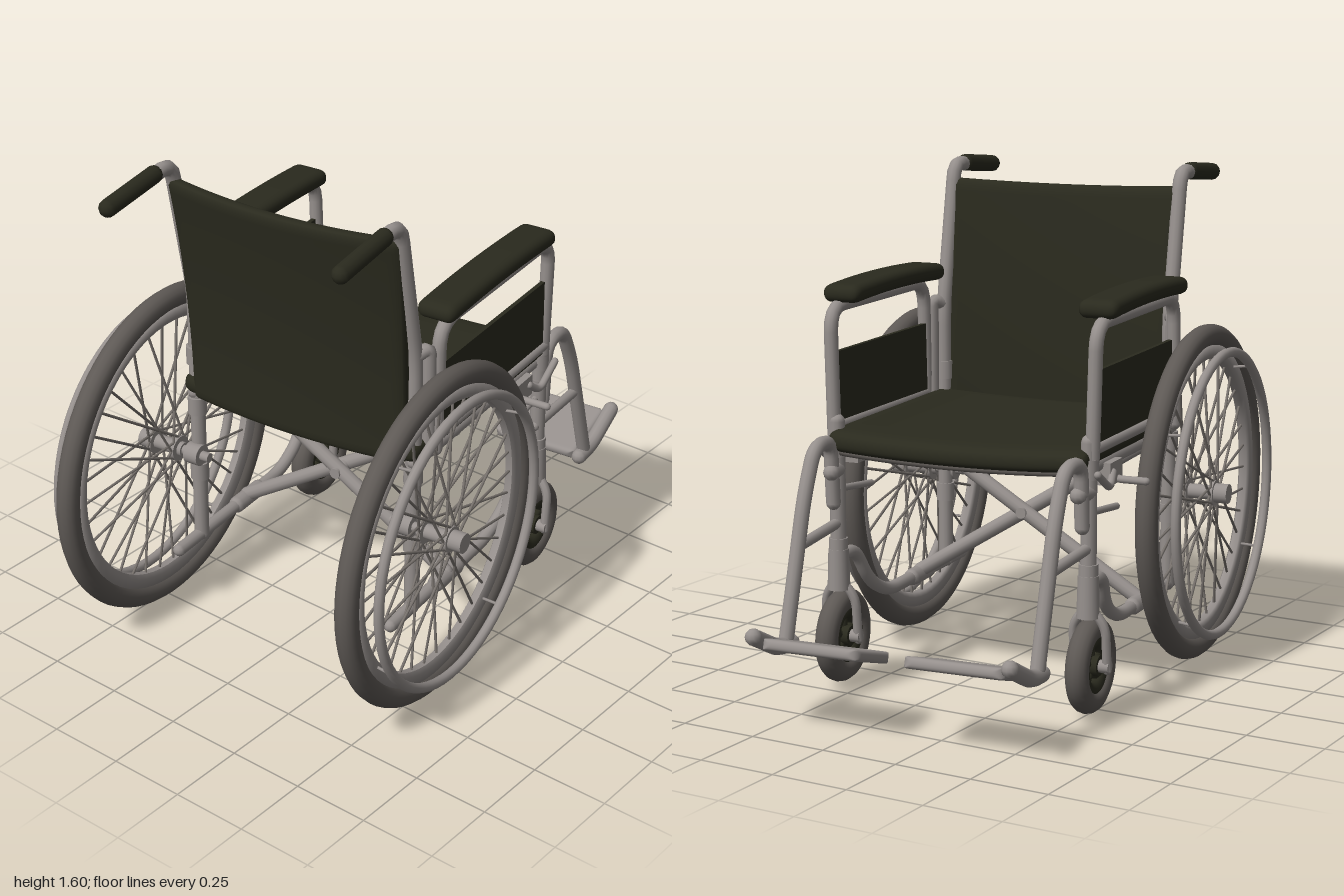
import * as THREE from 'three';
import { mergeGeometries, mergeVertices } from 'three/addons/utils/BufferGeometryUtils.js';

const mat = (name, color) => Object.assign(new THREE.MeshStandardMaterial({ color }), { name });
const V = (p) => new THREE.Vector3(...p);

// Tube along a polyline with rounded bends and round ends
function tubeGeo(points, r, bend = 0.06, sides = 12) {
  const pts = points.map(V);
  const path = new THREE.CurvePath();
  let from = pts[0];
  for (let i = 1; i < pts.length - 1; i++) {
    const p = pts[i];
    const b = Math.min(bend, p.distanceTo(pts[i - 1]) * 0.45, p.distanceTo(pts[i + 1]) * 0.45);
    const a = p.clone().add(pts[i - 1].clone().sub(p).setLength(b));
    const c = p.clone().add(pts[i + 1].clone().sub(p).setLength(b));
    path.add(new THREE.LineCurve3(from, a));
    path.add(new THREE.QuadraticBezierCurve3(a, p, c));
    from = c;
  }
  const end = pts[pts.length - 1];
  path.add(new THREE.LineCurve3(from, end));
  const tube = new THREE.TubeGeometry(path, pts.length > 2 ? pts.length * 12 : 1, r, sides);
  const caps = [pts[0], end].map((p) => new THREE.SphereGeometry(r, sides, 6).translate(p.x, p.y, p.z));
  return mergeGeometries([tube, ...caps]);
}

// Straight thin rod
function rodGeo(a, b, r, sides = 6) {
  const dir = V(b).sub(V(a));
  const g = new THREE.CylinderGeometry(r, r, dir.length(), sides);
  g.applyQuaternion(new THREE.Quaternion().setFromUnitVectors(new THREE.Vector3(0, 1, 0), dir.clone().normalize()));
  const m = V(a).addScaledVector(dir, 0.5);
  return g.translate(m.x, m.y, m.z);
}

// Rounded box with a fine grid, bent by a rule
function cushionGeo(w, h, d, r, warp, seg = [40, 8, 40]) {
  let g = new THREE.BoxGeometry(w, h, d, ...seg);
  g.deleteAttribute('uv');
  g.deleteAttribute('normal');
  g = mergeVertices(g, 1e-5);
  const pos = g.attributes.position;
  const half = new THREE.Vector3(w / 2 - r, h / 2 - r, d / 2 - r);
  const p = new THREE.Vector3();
  for (let i = 0; i < pos.count; i++) {
    p.fromBufferAttribute(pos, i);
    const q = p.clone().clamp(half.clone().negate(), half);
    p.sub(q);
    if (p.lengthSq() > 1e-12) p.setLength(r);
    p.add(q);
    warp(p);
    pos.setXYZ(i, p.x, p.y, p.z);
  }
  g.computeVertexNormals();
  return g;
}

export function createModel() {
  const metal = mat('grey metal', 0x96908d);
  const fabric = mat('dark olive upholstery', 0x2a2a1e);
  const rubber = mat('tyre rubber', 0x5e5955);
  const wire = mat('spoke wire', 0x7a746f);

  const model = new THREE.Group();
  model.name = 'wheelchair';
  const chair = new THREE.Group();
  chair.name = 'chair';
  chair.rotation.y = 0.118;
  chair.position.x = -0.046;
  model.add(chair);

  const add = (name, geo, material, parent = chair) => {
    const m = new THREE.Mesh(geo, material);
    m.name = name;
    parent.add(m);
  };
  const ring = (R, r, sides = 12, seg = 64) => new THREE.TorusGeometry(R, r, sides, seg).rotateY(Math.PI / 2);
  const axial = (r, len, x = 0) => new THREE.CylinderGeometry(r, r, len, 20).rotateZ(Math.PI / 2).translate(x, 0, 0);

  // Large spoked wheel with push rim, s is the side it faces
  function bigWheel(s) {
    const wheel = new THREE.Group();
    wheel.name = 'rearWheel';
    wheel.position.set(s * 0.505, 0.552, 0.398);
    chair.add(wheel);
    add('tyre', ring(0.511, 0.036, 14, 72), rubber, wheel);
    const profile = [[0.435, -0.012], [0.45, -0.02], [0.48, -0.02], [0.48, 0.02], [0.45, 0.02], [0.435, 0.012], [0.435, -0.012]];
    const rim = new THREE.LatheGeometry(profile.map((q) => new THREE.Vector2(...q)), 64).rotateZ(Math.PI / 2);
    add('wheelRim', rim, metal, wheel);
    add('pushRim', ring(0.46, 0.016, 10).translate(s * 0.077, 0, 0), metal, wheel);
    const at = (x, r, a) => [x, r * Math.cos(a), r * Math.sin(a)];
    const spokes = [], links = [];
    for (let i = 0; i < 36; i++) {
      const a = (i / 36) * Math.PI * 2;
      const x = i % 2 ? 0.045 : -0.045;
      const lean = Math.floor(i / 2) % 2 ? 1.1 : -1.1;
      spokes.push(rodGeo(at(x, 0.036, a + lean), at(0, 0.44, a), 0.0045));
    }
    for (let i = 0; i < 4; i++) {
      const a = (i / 4) * Math.PI * 2 + 0.6;
      links.push(rodGeo(at(0, 0.45, a), at(s * 0.077, 0.46, a), 0.005));
    }
    add('spokes', mergeGeometries(spokes), wire, wheel);
    add('pushRimLinks', mergeGeometries(links), metal, wheel);
    const hub = [axial(0.024, 0.13), axial(0.042, 0.012, 0.045), axial(0.042, 0.012, -0.045),
      axial(0.032, 0.05, s * 0.07), axial(0.016, 0.17, -s * 0.08), axial(0.035, 0.05, -s * 0.11)];
    add('hub', mergeGeometries(hub), metal, wheel);
  }

  // Small front wheel with fork
  function caster(s) {
    const c = new THREE.Group();
    c.name = 'caster';
    c.position.set(s * 0.42, 0.16, -0.355);
    chair.add(c);
    add('casterTyre', ring(0.112, 0.037, 14, 40), rubber, c);
    add('casterRim', ring(0.077, 0.026, 10, 32), fabric, c);
    const arms = [];
    for (let i = 0; i < 5; i++) {
      const a = (i / 5) * Math.PI * 2;
      arms.push(rodGeo([0, 0, 0], [0, 0.075 * Math.cos(a), 0.075 * Math.sin(a)], 0.014, 8));
    }
    add('casterSpokes', mergeGeometries([...arms, axial(0.032, 0.06)]), fabric, c);
    add('casterAxle', axial(0.02, 0.125), metal, c);
    const fork = [-1, 1].map((k) => tubeGeo([[k * 0.053, -0.01, 0], [k * 0.053, 0.13, -0.015], [0, 0.19, -0.025]], 0.015, 0.04, 8));
    add('fork', mergeGeometries(fork), metal, c);
    add('steeringStem', new THREE.CylinderGeometry(0.032, 0.036, 0.13, 18).translate(0, 0.22, -0.025), metal, c);
  }

  // Everything that repeats on the two sides
  for (const s of [-1, 1]) {
    const side = (pts) => pts.map(([x, y, z]) => [s * x, y, z]);
    const tube = (name, pts, r = 0.022, bend = 0.06, m = metal) => add(name, tubeGeo(side(pts), r, bend), m);
    bigWheel(s);
    caster(s);

    // Back post, push handle and grip
    tube('backPost', [[0.4, 0.24, 0.375], [0.4, 1.12, 0.365], [0.4, 1.585, 0.455], [0.4, 1.575, 0.56]], 0.024, 0.07);
    tube('handGrip', [[0.4, 1.58, 0.54], [0.4, 1.56, 0.762]], 0.028, 0.05, fabric);

    // Side frame
    tube('seatRail', [[0.405, 0.765, 0.375], [0.405, 0.765, -0.38]], 0.023);
    tube('frontPost', [[0.42, 0.33, -0.38], [0.42, 0.85, -0.38]], 0.025);
    tube('lowerRail', [[0.4, 0.24, 0.5], [0.4, 0.24, -0.08], [0.405, 0.3, -0.2], [0.42, 0.42, -0.27], [0.42, 0.42, -0.38]], 0.021);
    for (const [y, z] of [[0.77, -0.38], [0.45, -0.38], [0.72, 0.372], [0.48, 0.372], [0.9, 0.37]]) {
      const x = z < 0 ? 0.42 : 0.4;
      add('frameSleeve', new THREE.CylinderGeometry(0.03, 0.03, 0.06, 16).translate(s * x, y, z), metal);
    }

    // Armrest loop, rear socket, pad and side panel
    tube('armrestFrame', [[0.44, 0.79, 0.31], [0.44, 1.205, 0.29], [0.44, 1.205, -0.378], [0.43, 0.8, -0.378]], 0.022, 0.08);
    tube('armrestLowerBar', [[0.44, 0.83, 0.31], [0.435, 0.83, -0.378]], 0.018);
    tube('armrestSocket', [[0.4, 1.12, 0.37], [0.425, 1.14, 0.325], [0.425, 0.8, 0.325]], 0.022, 0.04);
    const pad = cushionGeo(0.128, 0.056, 0.65, 0.027, (p) => { p.y -= 0.1 * p.z * p.z; }, [16, 8, 40]);
    add('armrestPad', pad.translate(s * 0.425, 1.25, -0.02), fabric);
    add('sidePanel', new THREE.BoxGeometry(0.014, 0.26, 0.66).translate(s * 0.434, 0.935, -0.035), fabric);

    // Footrest hanger, brace, support bar and plate
    tube('footrestHanger', [[0.415, 0.6, -0.42], [0.415, 0.8, -0.435], [0.41, 0.8, -0.55], [0.41, 0.66, -0.62], [0.41, 0.25, -0.745]], 0.023, 0.09);
    tube('hangerBrace', [[0.42, 0.53, -0.36], [0.41, 0.515, -0.655]], 0.017);
    tube('hangerUpperBrace', [[0.42, 0.7, -0.38], [0.41, 0.7, -0.44]], 0.026);
    tube('footplateBar', [[0.41, 0.23, -0.715], [0.41, 0.235, -0.8], [0.41, 0.305, -0.945]], 0.026, 0.04);
    const plate = cushionGeo(0.32, 0.036, 0.24, 0.016, (p) => {
      // soften the plan corners
      const dx = Math.max(0, Math.abs(p.x) - 0.125), dz = Math.max(0, Math.abs(p.z) - 0.085);
      const k = Math.hypot(dx, dz);
      if (k > 0.035 && dx && dz) {
        p.x = Math.sign(p.x) * (0.125 + (dx * 0.035) / k);
        p.z = Math.sign(p.z) * (0.085 + (dz * 0.035) / k);
      }
    }, [48, 6, 40]);
    add('footplate', plate.rotateX(0.29).translate(s * 0.23, 0.254, -0.832), metal);

    // Parking brake
    add('brakeClamp', new THREE.BoxGeometry(0.05, 0.07, 0.1).translate(s * 0.425, 0.735, -0.23), metal);
    tube('brakeShoe', [[0.42, 0.72, -0.2], [0.45, 0.71, -0.215], [0.54, 0.71, -0.215]], 0.012, 0.02);
    tube('brakeLever', [[0.45, 0.74, -0.26], [0.46, 0.7, -0.31], [0.46, 0.76, -0.41]], 0.012, 0.03);
    tube('brakeLink', [[0.42, 0.61, -0.15], [0.42, 0.635, -0.37]], 0.011);

    // One arm of the folding cross
    const z = 0.14 + s * 0.026;
    tube('crossBrace', [[0.4, 0.25, z], [-0.39, 0.745, z]], 0.024);
    tube('crossBraceFoot', [[0.4, 0.24, z - 0.06], [0.4, 0.24, z + 0.06]], 0.028);
  }
  add('crossPivot', new THREE.CylinderGeometry(0.018, 0.018, 0.11, 16).rotateX(Math.PI / 2).translate(0, 0.498, 0.14), metal);

  // Seat cushion, sagging slightly in the middle with a bowed front edge
  const sag = (p) => {
    p.y -= 0.018 * (1 - (p.x / 0.43) ** 2);
    if (p.z < -0.3) p.y -= 0.7 * (p.z + 0.3) ** 2;
  };
  add('seat', cushionGeo(0.86, 0.065, 0.85, 0.03, sag).translate(0, 0.805, -0.015), fabric);
  // Grey sling under the cushion
  add('seatSling', cushionGeo(0.8, 0.024, 0.79, 0.008, sag, [32, 2, 32]).translate(0, 0.768, -0.02), rubber);

  // Backrest, reclined and bowed backwards, wider at the top
  const back = cushionGeo(0.82, 0.775, 0.05, 0.022, (p) => {
    const mid = 1 - (p.x / 0.41) ** 2;
    const up = p.y / 0.775 + 0.5;
    p.z += 0.035 * mid + 0.065 * up * up;
    p.x *= 0.95 + 0.05 * up * up;
    p.y -= 0.012 * mid * up;
  }, [40, 40, 8]);
  add('backrest', back.translate(0, 1.15, 0.385), fabric);

  return model;
}
